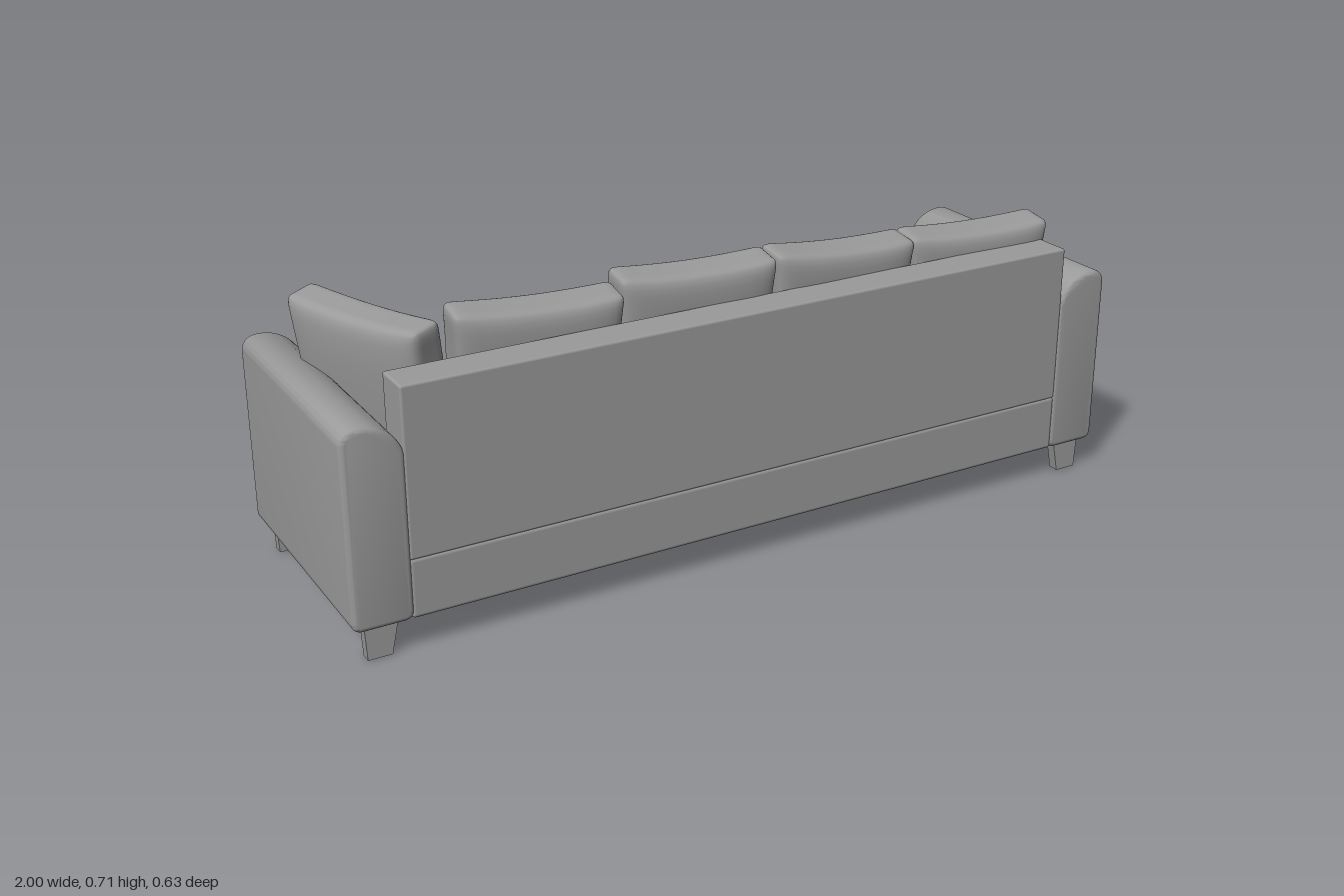
import * as THREE from 'three';
import { mergeVertices, toCreasedNormals } from 'three/addons/utils/BufferGeometryUtils.js';
import { RoundedBoxGeometry } from 'three/addons/geometries/RoundedBoxGeometry.js';

// Dark grey upholstery
const material = new THREE.MeshStandardMaterial({ color: 0x9a9a9a });

function add(parent, name, geometry, x = 0, y = 0, z = 0) {
  const mesh = new THREE.Mesh(geometry, material);
  mesh.name = name;
  mesh.position.set(x, y, z);
  parent.add(mesh);
  return mesh;
}

// Finely divided box with rounded edges; shape(p, u, v, t) then bends each point
function softBox(w, h, d, r, shape) {
  const box = new THREE.BoxGeometry(2, 2, 2, 18, 18, 18);
  box.deleteAttribute('uv');
  box.deleteAttribute('normal');
  const geometry = mergeVertices(box);
  const pos = geometry.attributes.position;
  const half = new THREE.Vector3(w / 2, h / 2, d / 2);
  const inner = half.clone().subScalar(r);
  const outer = inner.clone().negate();
  const p = new THREE.Vector3(), core = new THREE.Vector3();
  const ease = (a) => Math.sin(a * Math.PI / 2);
  for (let i = 0; i < pos.count; i++) {
    p.fromBufferAttribute(pos, i);
    p.set(ease(p.x), ease(p.y), ease(p.z)).multiply(half);
    core.copy(p).clamp(outer, inner);
    p.sub(core).setLength(r).add(core);
    shape(p, p.x / half.x, p.y / half.y, p.z / half.z);
    pos.setXYZ(i, p.x, p.y, p.z);
  }
  geometry.computeVertexNormals();
  return geometry;
}

// Upright pillow: full in the middle, thinner at the rim, corners pulled out
function pillow(w, h, d, slope) {
  return softBox(w, h, d, 0.022, (p, u, v) => {
    const fill = Math.max(0, (1 - u ** 4) * (1 - Math.abs(v) ** 3));
    p.z *= 0.64 + 0.36 * Math.sqrt(fill);
    p.x *= 1 - 0.05 * (1 - v * v);
    p.y *= 1 - 0.06 * (1 - u * u);
    p.y += slope * u * (v + 1) / 2;
  });
}

// Arm with a broad inner shoulder, outer side towards +x
function armGeometry() {
  const b = 0.012, x0 = 0.86 + b, x1 = 1 - b, y0 = 0.078 + b, y1 = 0.538 - b;
  const s = new THREE.Shape();
  s.moveTo(x0 + 0.012, y0);
  s.lineTo(x1 - 0.012, y0);
  s.quadraticCurveTo(x1, y0, x1, y0 + 0.012);
  s.lineTo(x1, y1 - 0.025);
  s.quadraticCurveTo(x1, y1, x1 - 0.03, y1);
  s.bezierCurveTo(x0 + 0.05, y1, x0 + 0.015, y1 - 0.02, x0, y1 - 0.065);
  s.lineTo(x0, y0 + 0.012);
  s.quadraticCurveTo(x0, y0, x0 + 0.012, y0);
  const g = new THREE.ExtrudeGeometry(s, {
    depth: 0.632 - 2 * b, bevelSize: b, bevelThickness: b, bevelSegments: 4, curveSegments: 12,
  });
  g.translate(0, 0, -0.316 + b);
  return toCreasedNormals(g, 0.7);
}

// Leg with an upright outer side and an inner side slanting in towards the floor
function legGeometry(side) {
  const g = new THREE.BoxGeometry(0.078, 0.085, 0.026);
  const pos = g.attributes.position;
  for (let i = 0; i < pos.count; i++) {
    const inside = pos.getX(i) * side < 0;
    if (pos.getY(i) < 0) pos.setX(i, pos.getX(i) + side * (inside ? 0.018 : -0.004));
  }
  g.computeVertexNormals();
  return g;
}

export function createModel() {
  const sofa = new THREE.Group();
  sofa.name = 'sofa';

  // Frame
  add(sofa, 'base', new RoundedBoxGeometry(1.735, 0.142, 0.624, 3, 0.01), 0, 0.15, 0.003);
  add(sofa, 'backrest', new RoundedBoxGeometry(1.73, 0.394, 0.096, 3, 0.006), 0, 0.415, 0.268);

  // Arms and legs
  for (const side of [1, -1]) {
    const name = side > 0 ? 'left' : 'right';
    const arm = armGeometry();
    // A half turn mirrors the arm, which is the same front to back
    if (side < 0) arm.rotateY(Math.PI);
    add(sofa, name + 'Arm', arm);
    for (const end of [1, -1]) {
      add(sofa, name + (end > 0 ? 'Back' : 'Front') + 'Leg', legGeometry(side), side * 0.931, 0.0425, end * 0.284);
    }
  }

  // Seat cushions
  for (let i = 0; i < 3; i++) {
    const g = softBox(0.568, 0.125, 0.532, 0.026, (p, u, v, t) => {
      if (v > 0) p.y += 0.016 * v * (1 - u * u) * (1 - t * t);
    });
    add(sofa, 'seatCushion' + (i + 1), g, (i - 1) * 0.573, 0.282, -0.05);
  }

  // Back cushions: x, y, z, width, turn, slope of the top edge
  const backs = [
    [-0.488, 0.513, 0.141, 0.398, -0.07, -0.007],
    [-0.097, 0.528, 0.147, 0.396, -0.06, -0.004],
    [0.293, 0.514, 0.151, 0.396, 0.01, -0.014],
    [0.688, 0.497, 0.151, 0.406, -0.04, -0.005],
  ];
  backs.forEach(([x, y, z, width, turn, slope], i) => {
    const m = add(sofa, 'backCushion' + (i + 1), pillow(width, 0.35, 0.13, slope), x, y, z);
    m.rotation.set(0.14, turn, 0, 'YXZ');
  });

  // Loose pillow leaning on the right arm
  const loose = add(sofa, 'sidePillow', pillow(0.39, 0.35, 0.12, -0.004), -0.805, 0.509, 0.007);
  loose.rotation.set(0.15, -1.16, 0, 'YXZ');

  return sofa;
}
